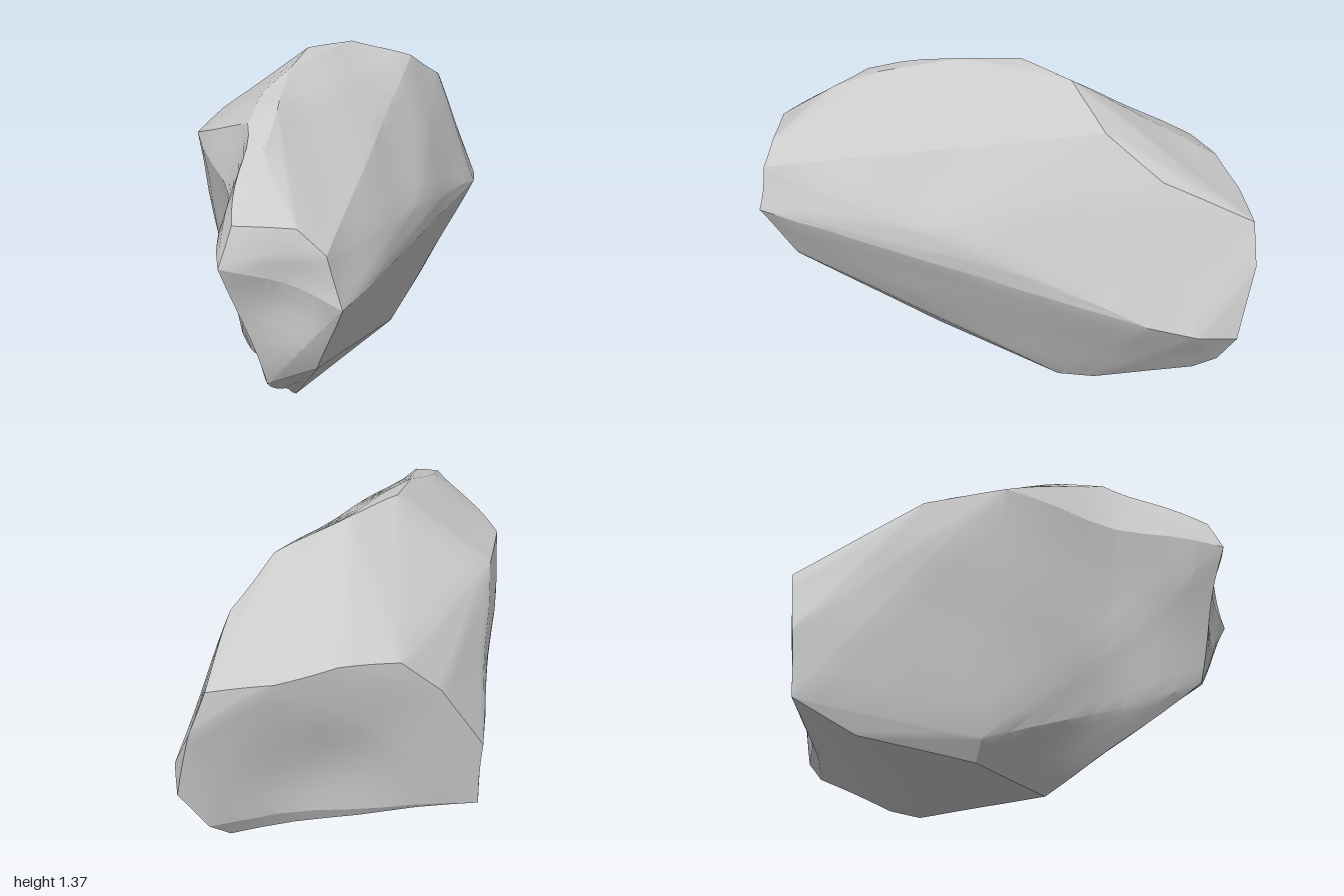
import * as THREE from 'three';
import { ConvexGeometry } from 'three/addons/geometries/ConvexGeometry.js';
import { toCreasedNormals } from 'three/addons/utils/BufferGeometryUtils.js';

// Corner points of the boulder, grouped by region
const nose = [
  [-0.36, 0.99, 0.94], [-0.15, 0.98, 0.94], [-0.05, 0.9, 0.97], [0, 0.72, 1],
  [-0.09, 0.45, 0.87], [-0.27, 0.38, 0.86], [-0.4, 0.86, 0.99],
];
const crown = [
  [-0.3, 1.17, 0.68], [-0.43, 1.22, 0.55], [-0.25, 1.26, 0.48], [-0.22, 1.34, 0.15],
  [-0.18, 1.36, -0.1], [0, 1.36, -0.3], [0.25, 1.27, -0.43], [0.38, 1.15, -0.64],
];
const rightSide = [
  [0.25, 0.82, 0.25], [0.42, 0.74, -0.2], [0.565, 0.64, -0.62], [0.585, 0.62, -0.8],
  [0.55, 0.6, -0.95], [0.48, 0.88, -0.99], [0.42, 1.03, -0.97],
];
const underside = [
  [0.46, 0.43, -0.91], [0.4, 0.33, -0.83], [0.35, 0.29, -0.62], [0.25, 0.12, -0.45],
  [0.18, 0.065, -0.3], [-0.22, 0, 0.27], [-0.4, 0.08, 0.05], [-0.45, 0.15, 0.08],
  [-0.45, 0.2, -0.38], [-0.2, 0.28, -0.57],
];
const leftAndBack = [
  [-0.59, 1.09, 0.2], [-0.53, 1.11, -0.13], [-0.5, 0.63, -0.64], [-0.5, 0.35, -0.62],
  [-0.34, 0.91, -0.73], [-0.2, 1.05, -0.79], [0, 1.07, -0.87], [0.2, 1.04, -0.94],
];

// Split every triangle into four
function subdivide(tris) {
  const mid = (a, b) => a.clone().add(b).multiplyScalar(0.5);
  return tris.flatMap(([a, b, c]) => {
    const ab = mid(a, b), bc = mid(b, c), ca = mid(c, a);
    return [[a, ab, ca], [ab, b, bc], [ca, bc, c], [ab, bc, ca]];
  });
}

const bump = (d, width) => Math.exp(-((d / width) ** 2));

// Hollow the nose, left flank and back, and roughen the surface a little
function weather(p) {
  const { x, y, z } = p;
  const front = THREE.MathUtils.smoothstep(z, 0.75, 0.9);
  const left = THREE.MathUtils.smoothstep(-x, 0.2, 0.45);
  const back = THREE.MathUtils.smoothstep(-z, 0.5, 0.7);
  p.z -= 0.06 * front * bump(Math.hypot(x + 0.18, y - 0.75), 0.17);
  p.z += 0.06 * back * bump(Math.hypot(x - 0.06, y - 0.58), 0.28);
  p.x += 0.085 * left * bump(z - 0.58, 0.2);
  const rough = 0.007 * Math.sin(11 * x + 5 * y) * Math.sin(9 * y + 7 * z) * Math.min(1, y * 6);
  p.x += rough;
  p.y += rough;
  return p;
}

export function createModel() {
  const group = new THREE.Group();
  group.name = 'boulder';

  const corners = [nose, crown, rightSide, underside, leftAndBack].flat();
  const hull = new ConvexGeometry(corners.map((c) => new THREE.Vector3(...c)));
  const pos = hull.attributes.position;
  let tris = [];
  for (let i = 0; i < pos.count; i += 3) {
    tris.push([0, 1, 2].map((k) => new THREE.Vector3().fromBufferAttribute(pos, i + k)));
  }
  for (let i = 0; i < 3; i++) tris = subdivide(tris);

  const points = tris.flat().map((p) => weather(p.clone()));
  const geometry = new THREE.BufferGeometry().setFromPoints(points);
  const rock = new THREE.Mesh(
    toCreasedNormals(geometry, 0.35),
    new THREE.MeshStandardMaterial({ color: 0xcccccc }),
  );
  rock.name = 'rock';
  group.add(rock);
  return group;
}
